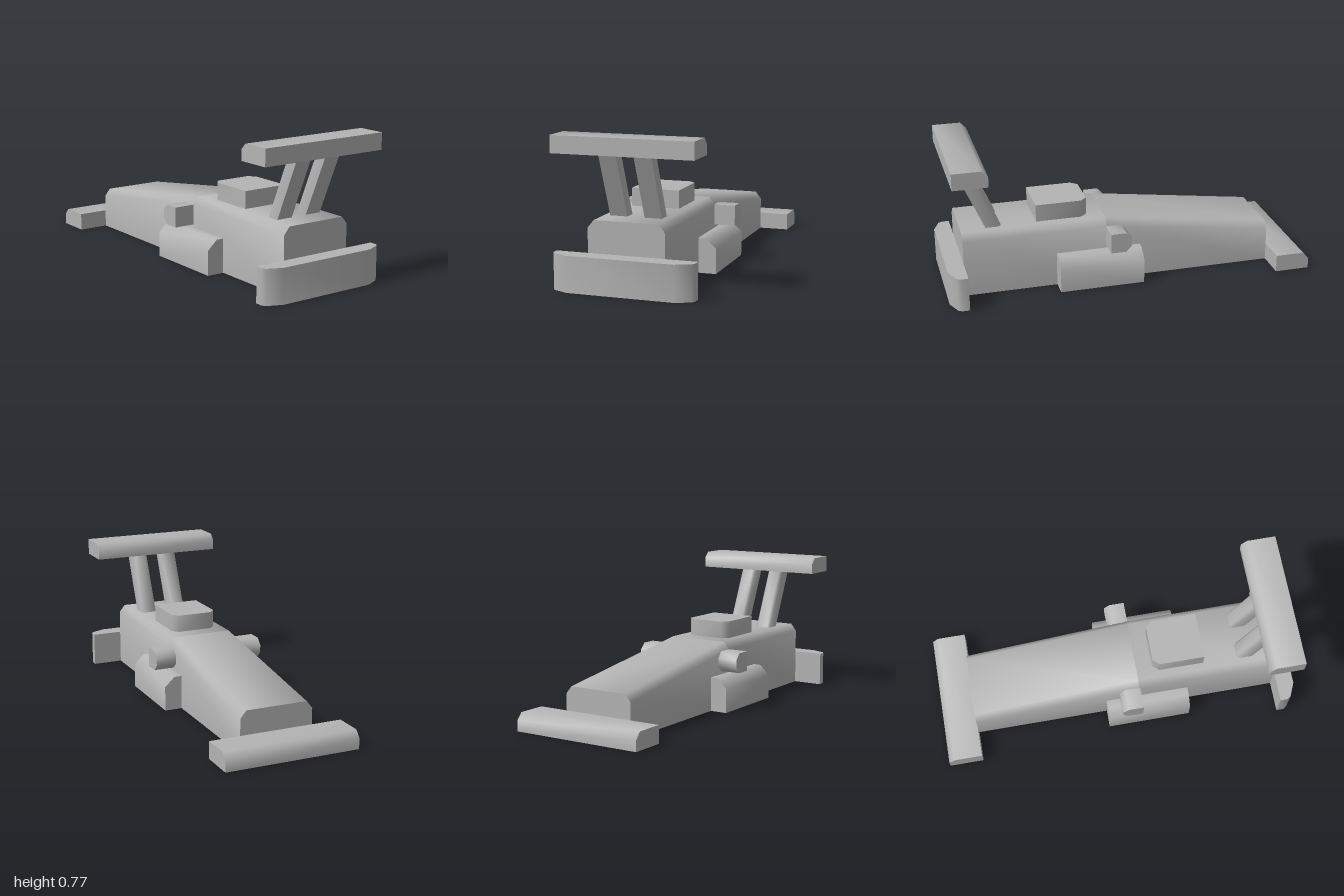
import * as THREE from 'three';
import { toCreasedNormals } from 'three/addons/utils/BufferGeometryUtils.js';

const grey = new THREE.MeshStandardMaterial({ color: 0xb4b4b4 });
grey.name = 'plain grey';

// Solid between two matching convex rings of [x, y, z] points; faces are turned outward.
function loft(name, a, b, capA = true, capB = true) {
  const n = a.length;
  const tris = [];
  for (let i = 0; i < n; i++) {
    const j = (i + 1) % n;
    tris.push([a[i], a[j], b[j]], [a[i], b[j], b[i]]);
  }
  for (let i = 1; i < n - 1; i++) {
    if (capA) tris.push([a[0], a[i + 1], a[i]]);
    if (capB) tris.push([b[0], b[i], b[i + 1]]);
  }
  // Compare the first ring's winding with the loft direction
  const v = (p) => new THREE.Vector3(...p);
  const area = new THREE.Vector3();
  for (let i = 1; i < n - 1; i++) {
    area.add(v(a[i]).sub(v(a[0])).cross(v(a[i + 1]).sub(v(a[0]))));
  }
  const inward = area.dot(v(b[0]).sub(v(a[0]))) < 0;
  const points = tris.flatMap((t) => (inward ? [t[0], t[2], t[1]] : t)).flat();
  const geometry = new THREE.BufferGeometry();
  geometry.setAttribute('position', new THREE.Float32BufferAttribute(points, 3));
  const mesh = new THREE.Mesh(toCreasedNormals(geometry, Math.PI / 3), grey);
  mesh.name = name;
  return mesh;
}

// Straight prisms along each axis from a flat outline
const alongX = (name, zy, x0, x1) =>
  loft(name, zy.map(([z, y]) => [x0, y, z]), zy.map(([z, y]) => [x1, y, z]));
const alongY = (name, xz, y0, y1) =>
  loft(name, xz.map(([x, z]) => [x, y0, z]), xz.map(([x, z]) => [x, y1, z]));
const alongZ = (name, xy, z0, z1) =>
  loft(name, xy.map(([x, y]) => [x, y, z0]), xy.map(([x, y]) => [x, y, z1]));

// Body cross-section with chamfered top edges
const bodyRing = (top, z) => [
  [-0.203, 0, z], [0.203, 0, z], [0.203, top - 0.04, z],
  [0.17, top, z], [-0.17, top, z], [-0.203, top - 0.04, z],
];

export function createModel() {
  const car = new THREE.Group();
  car.name = 'racingCar';

  // Body: level section and long sloping section
  car.add(loft('levelBody', bodyRing(0.355, 0.12), bodyRing(0.355, 0.905), false, true));
  car.add(loft('slopingBody', bodyRing(0.225, -0.81), bodyRing(0.355, 0.12), true, false));

  // Low wing with a chamfered edge
  car.add(alongX('lowWing',
    [[-0.81, 0], [-0.81, 0.095], [-0.968, 0.095], [-1, 0.058], [-1, 0]], -0.372, 0.372));

  // Upright bumper with bevelled corners
  car.add(alongY('bumper',
    [[-0.372, 0.905], [0.372, 0.905], [0.372, 0.945], [0.36, 0.965],
      [0.28, 1], [-0.28, 1], [-0.36, 0.965], [-0.372, 0.945]], 0, 0.187));

  // Cockpit block
  car.add(alongY('cockpit',
    [[-0.13, 0.495], [0.13, 0.495], [0.13, 0.245], [0.098, 0.21], [-0.098, 0.21], [-0.13, 0.245]],
    0.355, 0.45));

  // High wing
  car.add(alongX('highWing',
    [[0.965, 0.685], [0.965, 0.775], [0.81, 0.775], [0.778, 0.742], [0.778, 0.685]],
    -0.372, 0.372));

  for (const [side, s] of [['left', 1], ['right', -1]]) {
    // Leaning wing strut, chamfered on its far edges
    const strutRing = (y, z) => [
      [0.046, 0.085], [0.138, 0.085], [0.138, 0.016],
      [0.124, 0], [0.06, 0], [0.046, 0.016],
    ].map(([x, dz]) => [s * x, y, z + dz]);
    car.add(loft(side + 'Strut', strutRing(0.355, 0.685), strutRing(0.685, 0.83)));

    // Side pod
    car.add(alongZ(side + 'Pod',
      [[0.203, 0], [0.3, 0], [0.3, 0.135], [0.245, 0.187], [0.203, 0.187]]
        .map(([x, y]) => [s * x, y]), -0.065, 0.4));

    // Mirror block
    car.add(alongX(side + 'Mirror',
      [[0.125, 0.205], [0.125, 0.315], [0.042, 0.315], [0.01, 0.281], [0.01, 0.239], [0.042, 0.205]],
      s * 0.2, s * 0.318));
  }
  return car;
}
